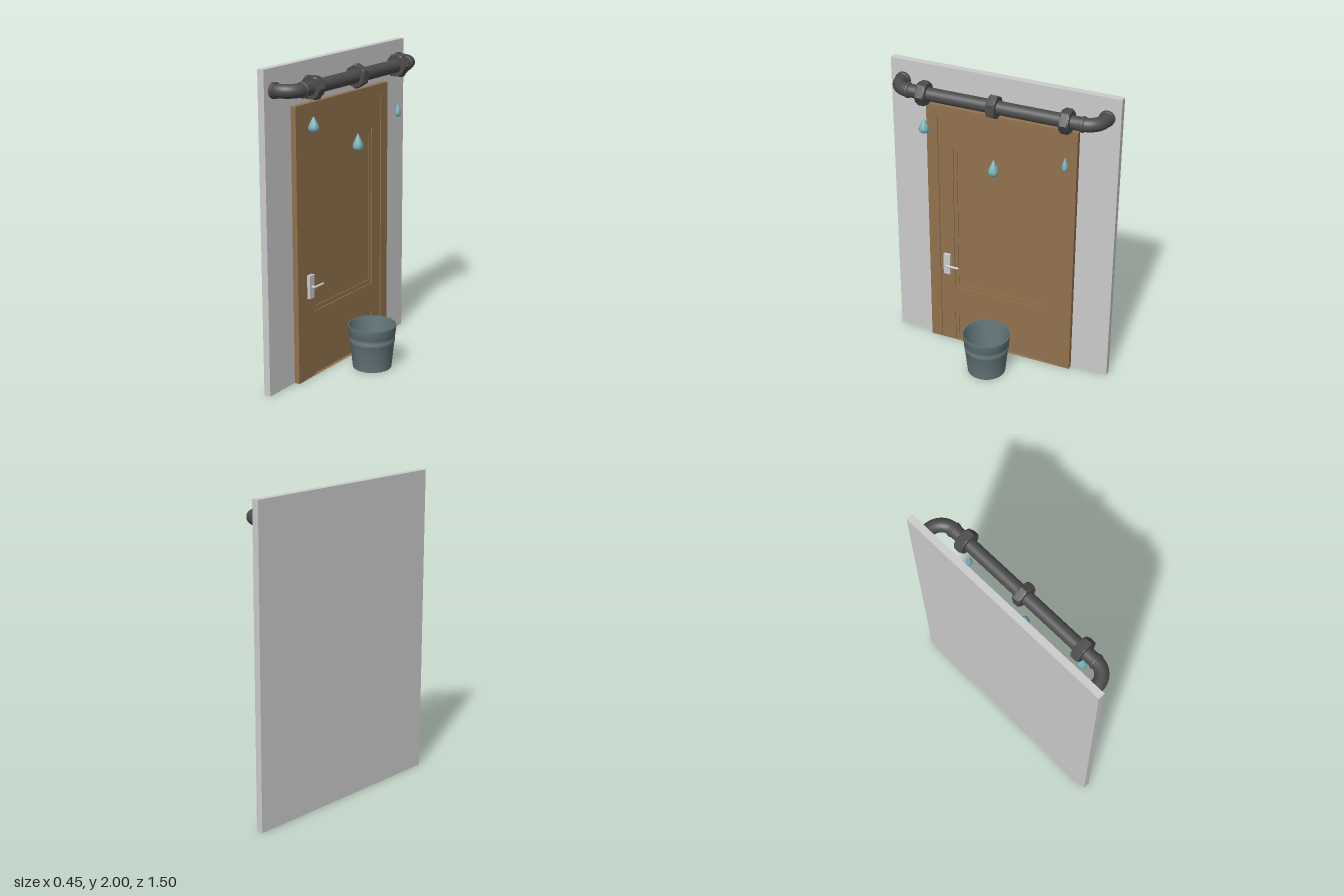
import * as THREE from 'three';
import { toCreasedNormals } from 'three/addons/utils/BufferGeometryUtils.js';

const mat = (color) => new THREE.MeshStandardMaterial({ color });
const GREY = mat(0xcccccc), WOOD = mat(0x91724d), IRON = mat(0x4c4c4c);
const WATER = mat(0x78b0b8), PAIL = mat(0x64777a);
PAIL.side = THREE.DoubleSide;

const PIPE_X = -0.045, PIPE_Y = 1.87, PIPE_R = 0.042;
const WALL_X = -0.18, BEND_R = 0.1, BEND_Z = 0.565;

export function createModel() {
  const model = new THREE.Group();

  const add = (parent, name, geometry, material, x = 0, y = 0, z = 0) => {
    const mesh = new THREE.Mesh(geometry, material);
    mesh.name = name;
    mesh.position.set(x, y, z);
    parent.add(mesh);
    return mesh;
  };
  const group = (name) => {
    const g = new THREE.Group();
    g.name = name;
    model.add(g);
    return g;
  };
  const lathe = (points, sides) => toCreasedNormals(
    new THREE.LatheGeometry(points.map(([r, y]) => new THREE.Vector2(r, y)), sides), 0.6);

  // Rectangles in the door plane, extruded forward along +x
  const rect = (target, w, y0, y1) => {
    target.moveTo(-w, y0);
    target.lineTo(w, y0);
    target.lineTo(w, y1);
    target.lineTo(-w, y1);
    target.closePath();
    return target;
  };
  const slab = (outer, holes, depth) => {
    const shape = rect(new THREE.Shape(), ...outer);
    holes.forEach((h) => shape.holes.push(rect(new THREE.Path(), ...h)));
    return new THREE.ExtrudeGeometry(shape, { depth, bevelEnabled: false }).rotateY(Math.PI / 2);
  };

  // Wall
  add(model, 'wall', new THREE.BoxGeometry(0.045, 2, 1.5), GREY, -0.2025, 1, 0);

  // Door: casing, leaf with two openings, stepped mouldings and sunken panels
  const door = group('door');
  add(door, 'doorCasing', slab([0.5, 0, 1.75], [[0.425, 0.001, 1.68]], 0.036), WOOD, WALL_X);
  const upper = [0.325, 0.425, 1.475], lower = [0.325, 0.001, 0.225];
  add(door, 'doorLeaf', slab([0.425, 0, 1.68], [upper, lower], 0.029), WOOD, WALL_X);
  const upperIn = [0.3, 0.455, 1.45], lowerIn = [0.3, 0.002, 0.2];
  add(door, 'upperMoulding', slab(upper, [upperIn], 0.022), WOOD, WALL_X);
  add(door, 'lowerMoulding', slab(lower, [lowerIn], 0.022), WOOD, WALL_X);
  add(door, 'upperPanel', slab(upperIn, [], 0.016), WOOD, WALL_X);
  add(door, 'lowerPanel', slab(lowerIn, [], 0.016), WOOD, WALL_X);

  // Door handle
  const handle = group('doorHandle');
  add(handle, 'handlePlate', new THREE.BoxGeometry(0.024, 0.15, 0.047), GREY, -0.142, 0.605, 0.373);
  const stem = add(handle, 'handleStem', new THREE.CylinderGeometry(0.008, 0.008, 0.035, 16), GREY, -0.122, 0.605, 0.371);
  stem.rotation.z = Math.PI / 2;
  const lever = add(handle, 'handleLever', new THREE.CapsuleGeometry(0.0075, 0.088, 4, 14), GREY, -0.111, 0.605, 0.329);
  lever.rotation.x = Math.PI / 2;

  // Pipe: straight run with an elbow into the wall at each end
  const pipe = group('pipe');
  const run = add(pipe, 'pipeRun', new THREE.CylinderGeometry(PIPE_R, PIPE_R, BEND_Z * 2, 28), IRON, PIPE_X, PIPE_Y, 0);
  run.rotation.x = Math.PI / 2;

  const along = (name, geometry, z) => {
    add(pipe, name, geometry, IRON, PIPE_X, PIPE_Y, z).rotation.x = Math.PI / 2;
  };
  const ring = (r, h) => lathe([[0, -h], [r - 0.003, -h], [r, -h + 0.003], [r, h - 0.003], [r - 0.003, h], [0, h]], 28);

  // Hexagonal nut: corners are cut back toward both ends
  const nut = (r, half, turn) => {
    const g = new THREE.CylinderGeometry(r, r, half * 2, 48, 6).toNonIndexed();
    const p = g.attributes.position;
    for (let i = 0; i < p.count; i++) {
      const x = p.getX(i), z = p.getZ(i), y = p.getY(i), a = Math.atan2(x, z);
      const len = Math.hypot(x, z);
      if (len < 1e-5) continue;
      const sector = Math.PI / 3;
      const local = ((a % sector) + sector) % sector - sector / 2;
      const hex = r * Math.cos(sector / 2) / Math.cos(local);
      const t = Math.max(0, (Math.abs(y) / half - 0.6) / 0.4);
      const k = Math.min(hex, r * (1 - 0.14 * t * t)) / len;
      p.setX(i, x * k);
      p.setZ(i, z * k);
    }
    return toCreasedNormals(g.rotateY(turn), 0.4);
  };

  along('middleNut', nut(0.077, 0.028, 0), 0);
  for (const s of [1, -1]) {
    const side = s > 0 ? 'left' : 'right';
    along(side + 'Nut', nut(0.078, 0.031, Math.PI / 2), s * 0.463);
    along(side + 'Collar', ring(0.048, 0.011), s * BEND_Z);

    const path = new THREE.CurvePath();
    const k = BEND_R * 0.5523, zEnd = BEND_Z + BEND_R, xBend = PIPE_X - BEND_R;
    const at = (x, z) => new THREE.Vector3(x, PIPE_Y, s * z);
    path.add(new THREE.CubicBezierCurve3(
      at(PIPE_X, BEND_Z), at(PIPE_X, BEND_Z + k), at(xBend + k, zEnd), at(xBend, zEnd)));
    path.add(new THREE.LineCurve3(at(xBend, zEnd), at(WALL_X, zEnd)));
    add(pipe, side + 'Elbow', new THREE.TubeGeometry(path, 28, PIPE_R, 28), IRON);

    const flange = add(pipe, side + 'Flange', ring(0.049, 0.013), IRON, WALL_X + 0.012, PIPE_Y, s * zEnd);
    flange.rotation.z = Math.PI / 2;
  }

  // Falling water drops: [base y, height, radius, z]
  const drops = group('waterDrops');
  const dropProfile = [[0, 0], [0.5, 0], [0.8, 0.06], [0.97, 0.17], [1, 0.27], [0.9, 0.42],
    [0.68, 0.58], [0.4, 0.76], [0.18, 0.9], [0, 1]];
  for (const [y, h, r, z] of [[1.607, 0.094, 0.033, 0.465], [1.405, 0.11, 0.033, 0], [1.54, 0.095, 0.02, -0.462]]) {
    add(drops, 'waterDrop', lathe(dropProfile.map(([a, b]) => [a * r, b * h]), 24), WATER, -0.04, y, z);
  }

  // Open bucket with raised bands below the rim
  const bucket = [[0, 0], [0.124, 0], [0.1425, 0.172], [0.145, 0.175], [0.147, 0.197], [0.1455, 0.2],
    [0.147, 0.222], [0.149, 0.225], [0.155, 0.286], [0.15, 0.286], [0.122, 0.012], [0, 0.012]];
  add(model, 'bucket', lathe(bucket, 40), PAIL, 0.068, 0, 0);

  return model;
}
